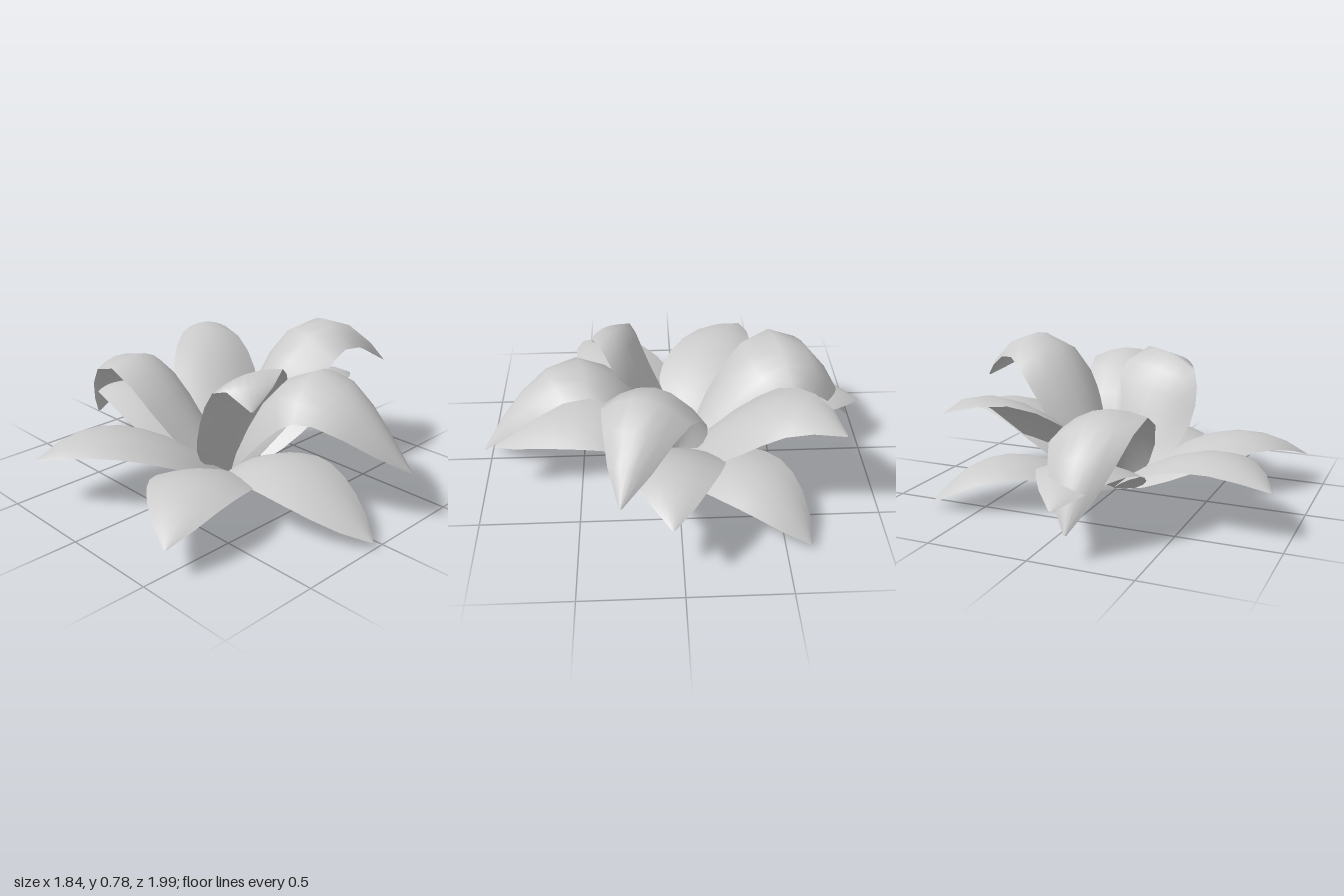
import * as THREE from 'three';

const material = new THREE.MeshStandardMaterial({ color: 0xcccccc, side: THREE.DoubleSide });
const UP = new THREE.Vector3(0, 1, 0);

// A petal: a blade swept along an arched midrib, with drooping edges (crown);
// bend bows the midrib sideways, roll raises one edge
function petal(name, tipPoint, lifts, { width = 0.24, crown = 0.05, roll = 0, bend = 0 } = {}) {
  const rows = 9;
  const cols = 6;
  const tip = new THREE.Vector3(...tipPoint);
  const across = new THREE.Vector3().crossVectors(UP, tip).normalize();
  const [handle1, handle2] = lifts.map((lift, i) => {
    const along = (i + 1) / 3;
    return new THREE.Vector3(tip.x * along, lift, tip.z * along).addScaledVector(across, bend);
  });
  const curve = new THREE.CubicBezierCurve3(new THREE.Vector3(0, 0.01, 0), handle1, handle2, tip);
  const positions = [];
  const indices = [];
  for (let i = 0; i <= rows; i++) {
    const t = i / rows;
    const tangent = curve.getTangentAt(t);
    const side = across.clone().addScaledVector(tangent, -across.dot(tangent)).normalize();
    side.applyAxisAngle(tangent, roll * Math.sin(Math.PI * t));
    const normal = new THREE.Vector3().crossVectors(tangent, side);
    const swell = Math.max(Math.sin(Math.PI * t ** 0.9), 0) ** 0.8 + 0.03;
    for (let j = 0; j <= cols; j++) {
      const u = (j / cols) * 2 - 1;
      const p = curve.getPointAt(t)
        .addScaledVector(side, u * width * swell)
        .addScaledVector(normal, -u * u * crown * swell);
      positions.push(p.x, Math.max(p.y, 0), p.z);
      if (i < rows && j < cols) {
        const a = i * (cols + 1) + j;
        const c = a + cols + 1;
        indices.push(a, c, a + 1, a + 1, c, c + 1);
      }
    }
  }
  const geometry = new THREE.BufferGeometry();
  geometry.setAttribute('position', new THREE.Float32BufferAttribute(positions, 3));
  geometry.setIndex(indices);
  geometry.computeVertexNormals();
  const mesh = new THREE.Mesh(geometry, material);
  mesh.name = name;
  return mesh;
}

// Thin stamens fanning up from the centre
function createStamens() {
  const stamens = new THREE.Group();
  stamens.name = 'stamens';
  for (let i = 0; i < 6; i++) {
    const angle = (i / 6) * Math.PI * 2 + 0.4;
    const length = 0.26 + 0.04 * (i % 3);
    const geometry = new THREE.CylinderGeometry(0.008, 0.004, length, 5);
    geometry.translate(0, length / 2, 0);
    const stamen = new THREE.Mesh(geometry, material);
    stamen.name = 'stamen';
    const lean = new THREE.Vector3(0.22 * Math.cos(angle) + 0.12, 1, 0.22 * Math.sin(angle) - 0.08);
    stamen.quaternion.setFromUnitVectors(UP, lean.normalize());
    stamen.position.y = 0.01;
    stamens.add(stamen);
  }
  return stamens;
}

export function createModel() {
  const flower = new THREE.Group();
  flower.name = 'flower';
  flower.add(
    // Lower, spreading ring
    petal('lowerPetalBackRight', [-0.92, 0.25, -0.42], [0.31, 0.45], { bend: 0.02 }),
    petal('lowerPetalFrontRight', [-0.9, 0.16, 0.53], [0.22, 0.43]),
    petal('lowerPetalFront', [-0.06, 0.04, 0.99], [0.38, 0.28], { bend: -0.05 }),
    petal('lowerPetalLeft', [0.92, 0.36, 0.05], [0.38, 0.55]),
    petal('lowerPetalBackLeft', [0.73, 0.04, -0.62], [0.21, 0.38], { width: 0.22 }),
    petal('lowerPetalBack', [-0.12, 0.25, -1], [0.28, 0.48], { bend: 0.02 }),
    // Upper, arching ring
    petal('upperPetalFront', [0.24, 0.28, 0.97], [0.96, 0.75], { crown: 0.11, roll: 0.25, bend: -0.09 }),
    petal('upperPetalLeft', [0.92, 0.5, 0.28], [1.02, 0.89], { crown: 0.12 }),
    petal('upperPetalBackLeft', [0.54, 0.55, -0.77], [0.39, 0.76], { crown: 0.06, roll: 0.2 }),
    petal('upperPetalBack', [-0.16, 0.13, -0.95], [0.41, 1], { crown: 0.09, roll: 0.3, bend: 0.03 }),
    // Upright petal with a curled tip
    petal('uprightPetal', [-0.27, 0.57, 0.42], [0.39, 0.98], { width: 0.26, roll: 0.4 }),
    createStamens(),
  );
  return flower;
}
